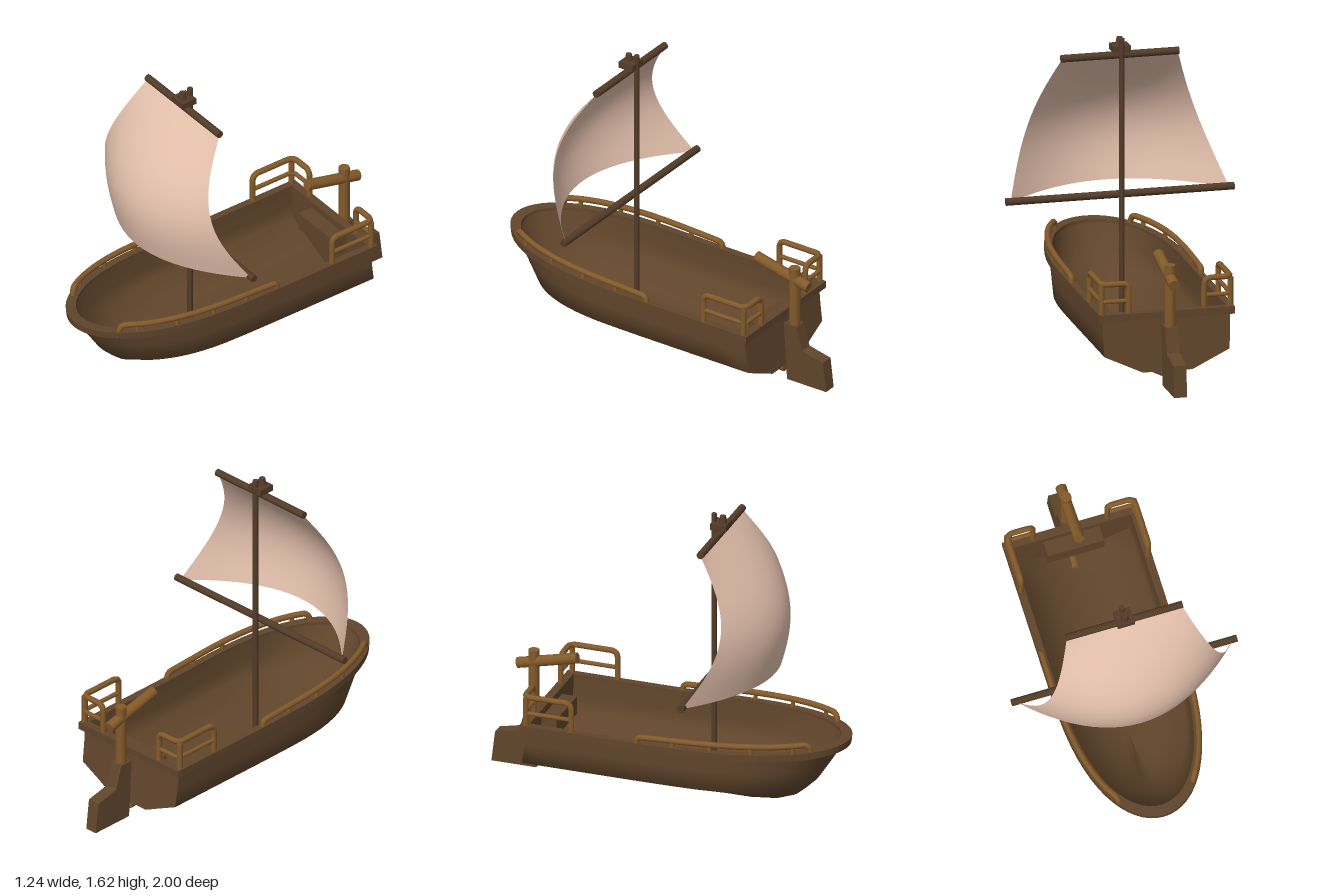
import * as THREE from 'three';
import { mergeGeometries, toCreasedNormals } from 'three/addons/utils/BufferGeometryUtils.js';

const mat = (name, color, side = THREE.FrontSide) => {
  const m = new THREE.MeshStandardMaterial({ color, side });
  m.name = name;
  return m;
};
const V = (x, y, z) => new THREE.Vector3(x, y, z);

// Surface through rows of points
function grid(rows, flip = false) {
  const n = rows[0].length, pos = [], idx = [];
  rows.forEach(r => r.forEach(p => pos.push(p.x, p.y, p.z)));
  for (let j = 0; j < rows.length - 1; j++) {
    for (let i = 0; i < n - 1; i++) {
      const a = j * n + i, b = a + 1, c = a + n, d = c + 1;
      if (flip) idx.push(a, c, b, b, c, d);
      else idx.push(a, b, c, b, d, c);
    }
  }
  const g = new THREE.BufferGeometry();
  g.setAttribute('position', new THREE.Float32BufferAttribute(pos, 3));
  g.setIndex(idx);
  g.computeVertexNormals();
  return g;
}

// Closed boat-shaped outline at height y: straight sides, rounded bow, flat stern
const MID = 0.15;
const rise = z => 0.04 * Math.pow(Math.max(0, (z + 0.1) / 1.1), 1.6);
function outline(w, y, zs, zf) {
  const half = [];
  for (let i = 0; i < 5; i++) half.push([w, zs + (MID - zs) * i / 5]);
  for (let i = 0; i <= 16; i++) {
    const t = i / 16 * Math.PI / 2;
    half.push([i === 16 ? 0 : w * Math.cos(t), MID + (zf - MID) * Math.pow(Math.sin(t), 0.8)]);
  }
  const at = (x, z) => V(x, y + rise(z) * Math.min(1, y / 0.36), z);
  const pts = half.map(([x, z]) => at(x, z));
  half.slice(0, -1).reverse().forEach(([x, z]) => pts.push(at(-x, z)));
  // doubled stern corners keep the transom edge sharp
  pts.push(pts[pts.length - 1].clone(), pts[0].clone());
  return pts;
}

// Line path with rounded corners
function roundedPath(pts, r) {
  const path = new THREE.CurvePath();
  let from = pts[0];
  for (let i = 1; i < pts.length - 1; i++) {
    const p = pts[i];
    const cut = q => p.clone().add(q.clone().sub(p).setLength(Math.min(r, p.distanceTo(q) * 0.45)));
    const a = cut(pts[i - 1]), b = cut(pts[i + 1]);
    path.add(new THREE.LineCurve3(from, a));
    path.add(new THREE.QuadraticBezierCurve3(a, p, b));
    from = b;
  }
  path.add(new THREE.LineCurve3(from, pts[pts.length - 1]));
  return path;
}

// Straight round bar between two points
function rod(a, b, r, sides = 10) {
  const d = b.clone().sub(a);
  const g = new THREE.CylinderGeometry(r, r, d.length(), sides);
  g.applyQuaternion(new THREE.Quaternion().setFromUnitVectors(V(0, 1, 0), d.clone().normalize()));
  const m = a.clone().add(b).multiplyScalar(0.5);
  return g.translate(m.x, m.y, m.z);
}

export function createModel() {
  const model = new THREE.Group();
  const hullWood = mat('hull wood', 0x60452b, THREE.DoubleSide);
  const railWood = mat('rail wood', 0x835a2a);
  const sparWood = mat('spar wood', 0x533c28);
  const canvas = mat('sail canvas', 0xe2bfab, THREE.DoubleSide);
  const add = (name, geo, material) => {
    const m = new THREE.Mesh(geo, material);
    m.name = name;
    model.add(m);
    return m;
  };

  // Outer hull: sides and V bottom, with a step cut under the stern
  const bottomW = y => 0.34 * (y - 0.012) / 0.158;
  const upper = [
    outline(0.347, 0.375, -0.69, 0.965), outline(0.344, 0.28, -0.70, 0.90),
    outline(0.34, 0.17, -0.715, 0.82), outline(bottomW(0.12), 0.12, -0.72, 0.765),
    outline(bottomW(0.075), 0.075, -0.727, 0.71),
  ];
  const lower = [
    outline(bottomW(0.075), 0.075, -0.6, 0.71), outline(bottomW(0.035), 0.035, -0.6, 0.61),
    outline(0, 0.012, -0.6, 0.45),
  ];
  add('hull', toCreasedNormals(grid([...upper, ...lower]), 1.2), hullWood);

  // Inside of the hull
  const inner = [
    outline(0.328, 0.385, -0.675, 0.935), outline(0.325, 0.28, -0.675, 0.87),
    outline(0.315, 0.2, -0.675, 0.78), outline(0.16, 0.13, -0.675, 0.68),
    outline(0, 0.06, -0.675, 0.45),
  ];
  add('hullInterior', toCreasedNormals(grid(inner, true), 1.2), hullWood);

  // Gunwale running all the way round
  const section = [[0.328, 0.36, -0.675, 0.935], [0.368, 0.36, -0.72, 0.995],
    [0.368, 0.4, -0.72, 1.0], [0.328, 0.4, -0.675, 0.94], [0.328, 0.36, -0.675, 0.935]];
  add('gunwale', toCreasedNormals(grid(section.map(s => outline(...s)), true), 1.2), hullWood);

  // Stern bench
  add('sternBench', new THREE.BoxGeometry(0.31, 0.1, 0.09).translate(0, 0.31, -0.635), hullWood);

  // Low side rails and stern rails, mirrored
  const railX = z => 0.352 * Math.sqrt(1 - Math.pow(Math.max(0, z - MID) / 0.83, 2.5));
  const railY = z => 0.434 + 0.045 * z;
  const onRail = (s, z, y) => V(s * railX(z), y, z);
  const R = 0.016;
  for (const s of [1, -1]) {
    const side = s > 0 ? 'left' : 'right';
    const path = [onRail(s, 0.86, 0.40)];
    for (let i = 0; i <= 14; i++) {
      const z = 0.845 - i * 0.91 / 14;
      path.push(onRail(s, z, railY(z)));
    }
    path.push(onRail(s, -0.07, 0.39));
    const parts = [new THREE.TubeGeometry(roundedPath(path, 0.03), 90, R, 8)];
    for (const z of [0.77, 0.56, 0.34, 0.13])
      parts.push(rod(onRail(s, z, 0.39), onRail(s, z, railY(z)), 0.012, 8));
    add(side + 'SideRail', mergeGeometries(parts), railWood);

    const x = s * 0.35, e = s * 0.205, zb = -0.7, zf = -0.435;
    const top = [V(x, 0.39, zf), V(x, 0.562, zf), V(x, 0.562, zb), V(e, 0.562, zb), V(e, 0.39, zb)];
    const mid = [V(x, 0.468, zf), V(x, 0.468, zb), V(e, 0.468, zb)];
    add(side + 'SternRail', mergeGeometries([
      new THREE.TubeGeometry(roundedPath(top, 0.04), 70, R, 8),
      new THREE.TubeGeometry(roundedPath(mid, 0.03), 40, 0.012, 8),
      rod(V(x, 0.39, zb + 0.01), V(x, 0.555, zb + 0.01), R, 8),
    ]), railWood);
  }

  // Rudder blade, its post, the tiller and the lower shaft
  const blade = new THREE.Shape([[0.73, 0.335], [0.81, 0.335], [0.845, 0.205], [0.98, 0.175],
    [1.0, 0.005], [0.75, 0.005]].map(([a, b]) => new THREE.Vector2(a, b)));
  const bladeGeo = new THREE.ExtrudeGeometry(blade, { depth: 0.07, bevelEnabled: false });
  bladeGeo.translate(0, 0, -0.035).rotateY(Math.PI / 2);
  add('rudderBlade', bladeGeo, hullWood);
  add('rudderPost', rod(V(0, 0.32, -0.775), V(0, 0.67, -0.775), 0.03), railWood);
  add('tiller', rod(V(0, 0.66, -0.53), V(0, 0.58, -0.865), 0.03), railWood);
  add('lowerShaft', rod(V(0, 0.06, -0.59), V(0, 0.05, -0.715), 0.025), railWood);

  // Mast, yards and masthead fitting
  add('mast', rod(V(0, 0.06, 0.237), V(0, 1.625, 0.237), 0.015), sparWood);
  add('upperYard', rod(V(-0.32, 1.525, 0.277), V(0.32, 1.525, 0.277), 0.02), sparWood);
  add('lowerYard', rod(V(-0.62, 0.762, 0.277), V(0.62, 0.762, 0.277), 0.02), sparWood);
  add('mastheadBlock', new THREE.BoxGeometry(0.095, 0.035, 0.09).translate(0, 1.565, 0.275), sparWood);
  add('mastheadKnob', new THREE.CylinderGeometry(0.016, 0.023, 0.04, 8).translate(0, 1.6, 0.287), sparWood);

  // Billowing sail
  const rows = [];
  for (let j = 0; j <= 20; j++) {
    const v = 1 - j / 20, row = [];
    for (let i = 0; i <= 24; i++) {
      const s = i / 12 - 1;
      row.push(V(s * (0.595 - 0.28 * v), 0.755 + 0.765 * v,
        0.277 + 0.165 * Math.sin(Math.PI * v) + 0.305 * (1 - v) * (1 - s * s)));
    }
    rows.push(row);
  }
  add('sail', grid(rows, true), canvas);

  return model;
}
